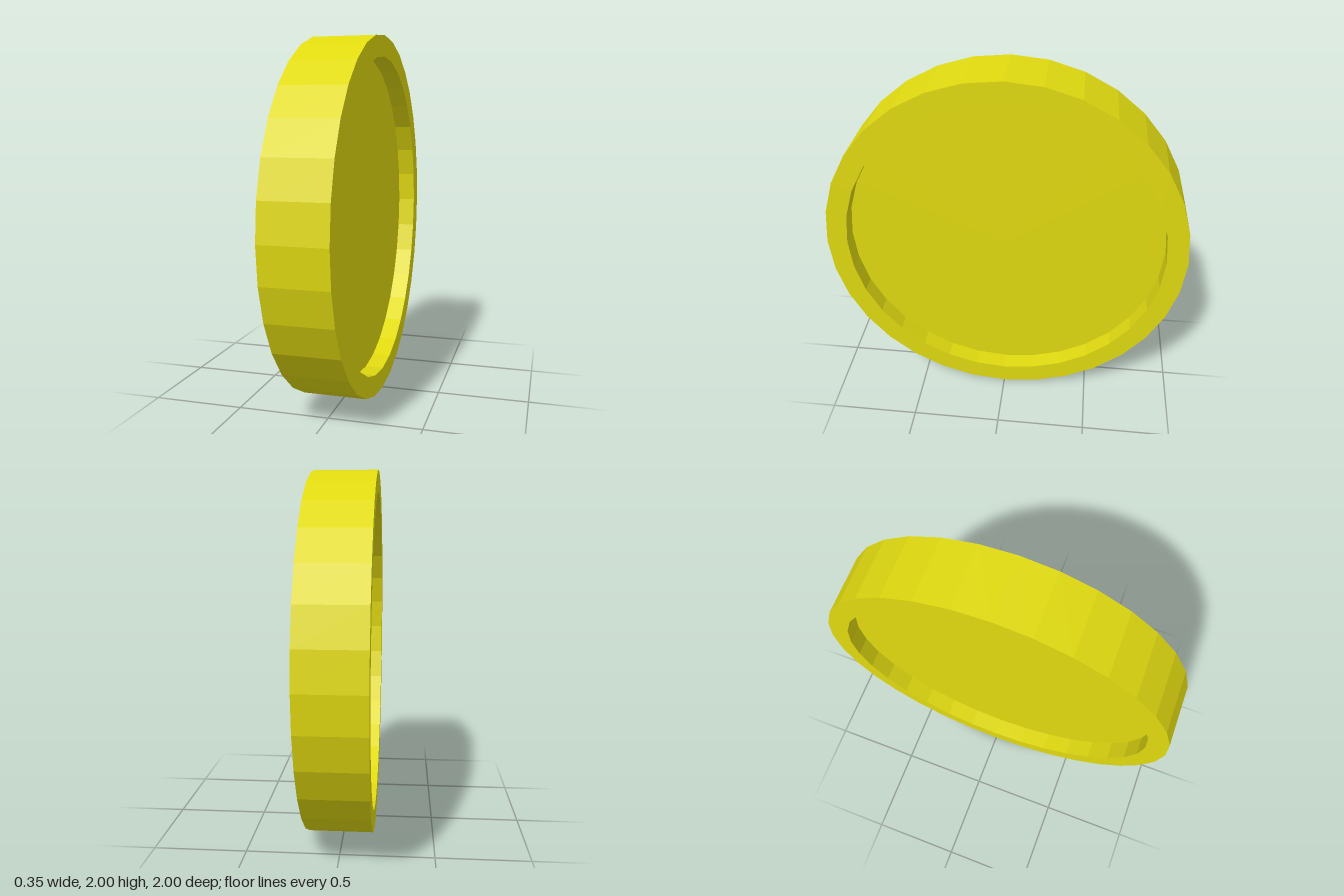
import * as THREE from 'three';

const SIDES = 32;
const R = 1, INNER = 0.885;      // outer and recess radii
const HALF = 0.173, FLOOR = 0.072; // half thickness at the rim and at the recessed faces

export function createModel() {
  const group = new THREE.Group();
  group.name = 'coin';
  const gold = new THREE.MeshStandardMaterial({ color: 0xe0da10, flatShading: true });

  // Raised rim: outer band, both rings and the recess walls, turned about x
  const profile = [
    [INNER, -FLOOR], [INNER, -HALF], [R, -HALF],
    [R, HALF], [INNER, HALF], [INNER, FLOOR],
  ].map(([r, h]) => new THREE.Vector2(r, h));
  const rimGeo = new THREE.LatheGeometry(profile, SIDES).toNonIndexed();
  rimGeo.rotateZ(-Math.PI / 2);
  rimGeo.computeVertexNormals();
  const rim = new THREE.Mesh(rimGeo, gold);
  rim.name = 'rim';
  group.add(rim);

  // Recessed flat face on each side
  for (const side of [1, -1]) {
    const face = new THREE.Mesh(new THREE.CircleGeometry(INNER, SIDES), gold);
    face.name = side > 0 ? 'leftFace' : 'rightFace';
    face.rotation.y = side * Math.PI / 2;
    face.position.x = side * FLOOR;
    group.add(face);
  }

  group.position.y = R; // stands on its edge
  return group;
}
